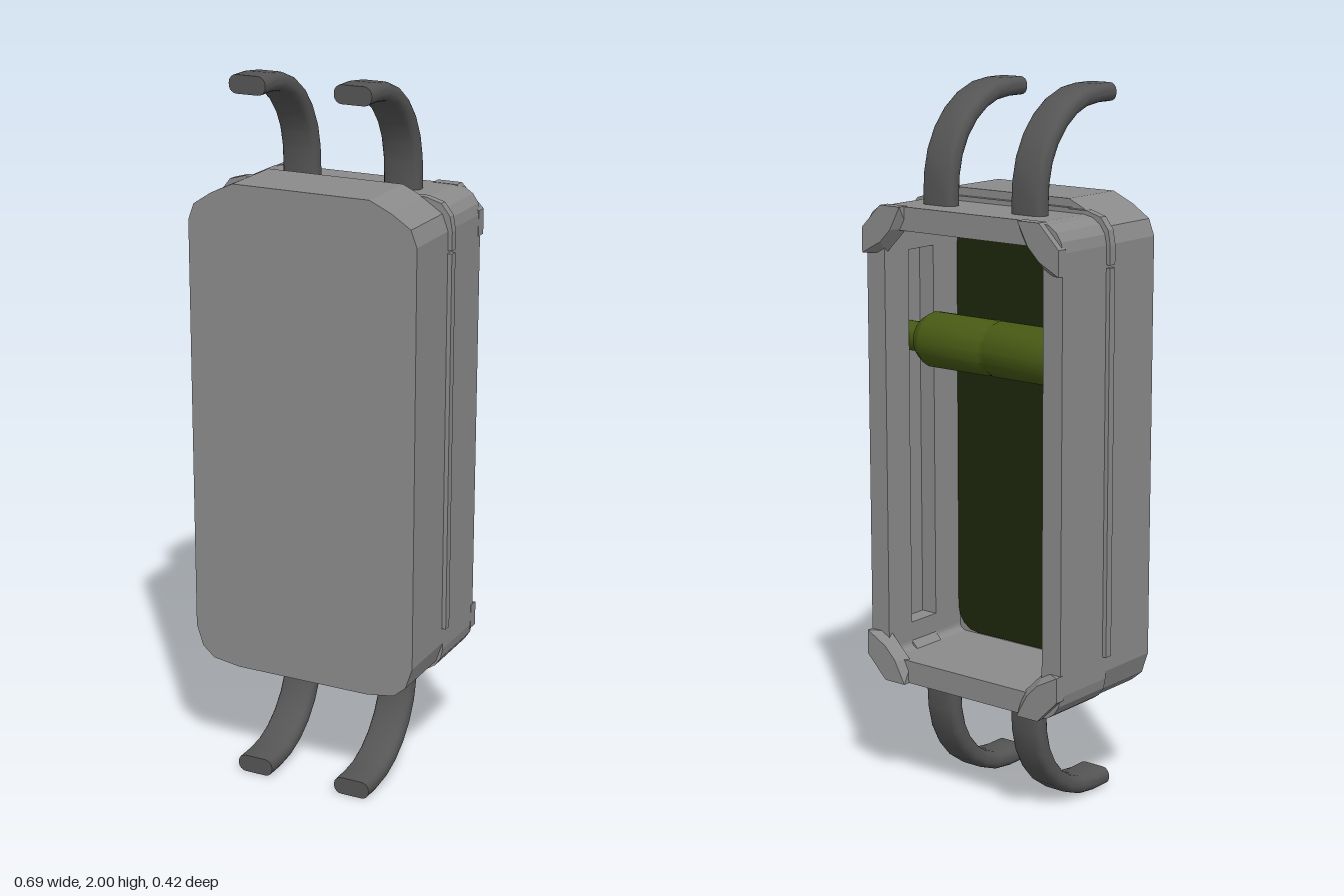
import * as THREE from 'three';
import { toCreasedNormals } from 'three/addons/utils/BufferGeometryUtils.js';
import { ConvexGeometry } from 'three/addons/geometries/ConvexGeometry.js';

const paint = (color) => new THREE.MeshStandardMaterial({ color, side: THREE.DoubleSide });
const grey = paint(0x8b8b8b), rubber = paint(0x555555);
const green = paint(0x475914), darkGreen = paint(0x1d260b);

const shapeOf = (pts) => new THREE.Shape(pts.map(([x, y]) => new THREE.Vector2(x, y)));

// Mirrors a right-half outline (listed bottom to top) into a closed one.
const mirrored = (half) => [...half, ...half.slice().reverse().map(([x, y]) => [-x, y])];

// Outline with rounded corners, half width w, from y0 to y1.
function rounded(w, y0, y1, r, n = 4) {
  const half = [];
  for (const [cy, start] of [[y0 + r, -Math.PI / 2], [y1 - r, 0]]) {
    for (let i = 0; i <= n; i++) {
      const a = start + (i / n) * Math.PI / 2;
      half.push([w - r + r * Math.cos(a), cy + r * Math.sin(a)]);
    }
  }
  return mirrored(half);
}

export function createModel() {
  const group = new THREE.Group();

  const add = (name, geometry, material = grey) => {
    const mesh = new THREE.Mesh(geometry, material);
    mesh.name = name;
    group.add(mesh);
    return mesh;
  };

  // Flat outline pushed from z0 to z1, with an optional hole.
  const slab = (name, outline, z0, z1, hole, material) => {
    const shape = shapeOf(outline);
    if (hole) shape.holes.push(shapeOf(hole));
    const g = new THREE.ExtrudeGeometry(shape, { depth: z1 - z0, bevelEnabled: false });
    g.translate(0, 0, z0);
    return add(name, toCreasedNormals(g, 0.1), material);
  };

  // Case: stacked rings, the middle one opened sideways to form the guide slots
  const backOutline = rounded(0.335, 0.33, 1.675, 0.075);
  const frontOutline = mirrored([
    [0.2, 0.323], [0.28, 0.335], [0.315, 0.365], [0.335, 0.425],
    [0.335, 1.6], [0.318, 1.645], [0.265, 1.68], [0.2, 1.71],
  ]);
  const opening = rounded(0.272, 0.395, 1.61, 0.02);
  const slotted = mirrored([
    [0.252, 0.395], [0.272, 0.415], [0.272, 0.47], [0.322, 0.47],
    [0.322, 1.54], [0.272, 1.54], [0.272, 1.59], [0.252, 1.61],
  ]);
  slab('caseRim', backOutline, -0.193, -0.095, opening);
  slab('caseSlotRing', backOutline, -0.095, 0.01, slotted);
  slab('caseFrontRing', frontOutline, 0.01, 0.12, opening);
  slab('frontCover', frontOutline, 0.12, 0.21);
  slab('innerPanel', rounded(0.271, 0.4, 1.605, 0.07), 0.112, 0.121, null, darkGreen);

  // Seam trim along the sides and over the top corners
  for (const s of [1, -1]) {
    const trim = [
      [0.2, 1.65], [0.2, 1.685], [0.27, 1.685], [0.315, 1.672], [0.34, 1.64],
      [0.347, 1.6], [0.347, 1.548], [0.325, 1.548], [0.325, 1.6], [0.28, 1.65],
    ];
    slab('cornerTrim', trim.map(([x, y]) => [s * x, y]), -0.005, 0.018);
    const strip = add('sideTrim', new THREE.BoxGeometry(0.02, 1.07, 0.023));
    strip.position.set(s * 0.337, 1.005, 0.0065);
  }
  const topTrim = add('topTrim', new THREE.BoxGeometry(0.42, 0.03, 0.023));
  topTrim.position.set(0, 1.673, 0.0065);

  // Faceted corner guards on the open back: [inward x, inward y] from the corner
  const outer = [[0.135, 0], [0.065, 0], [0, 0.065], [0, 0.135]];
  const base = [...outer, [0.135, 0.06], [0.06, 0.135]];
  const ridge = [...outer, [0.1, 0.065], [0.065, 0.1]];
  for (const sx of [1, -1]) for (const sy of [1, -1]) {
    const place = (pts, z) => pts.map(([u, v]) =>
      new THREE.Vector3(sx * (0.336 - u), 1.0025 + sy * (0.6735 - v), z));
    add('cornerGuard', new ConvexGeometry([...place(base, -0.18), ...place(ridge, -0.212)]));
  }

  // Curved arms, two above and two below
  const path = [new THREE.Vector3(0, 1.64, -0.095)];
  for (let i = 0; i <= 6; i++) {
    const a = (i / 6) * Math.PI / 2;
    path.push(new THREE.Vector3(0, 1.725 + 0.25 * Math.sin(a), 0.15 - 0.245 * Math.cos(a)));
  }
  path.push(new THREE.Vector3(0, 1.975, 0.21));
  const section = shapeOf(rounded(0.0535, -0.025, 0.025, 0.022));
  const armGeometry = toCreasedNormals(new THREE.ExtrudeGeometry(section, {
    steps: 9, extrudePath: new THREE.CatmullRomCurve3(path),
  }), 0.6);
  for (const x of [0.152, -0.152]) {
    add('upperArm', armGeometry, rubber).position.x = x;
    const lower = add('lowerArm', armGeometry, rubber);
    lower.position.set(x, 2, 0);
    lower.scale.y = -1;
  }

  // Roller across the opening, its pins running in the side slots
  const side = [[0, 0.318], [0.042, 0.318], [0.042, 0.255], [0.06, 0.25], [0.078, 0.22],
    [0.078, 0.012], [0.075, 0.006]];
  const profile = [...side, ...side.slice().reverse().map(([r, h]) => [r, -h])]
    .map(([r, h]) => new THREE.Vector2(r, h));
  const roller = add('roller', toCreasedNormals(new THREE.LatheGeometry(profile, 16), 0.5), green);
  roller.rotation.z = Math.PI / 2;
  roller.position.set(0, 1.29, -0.045);

  return group;
}
